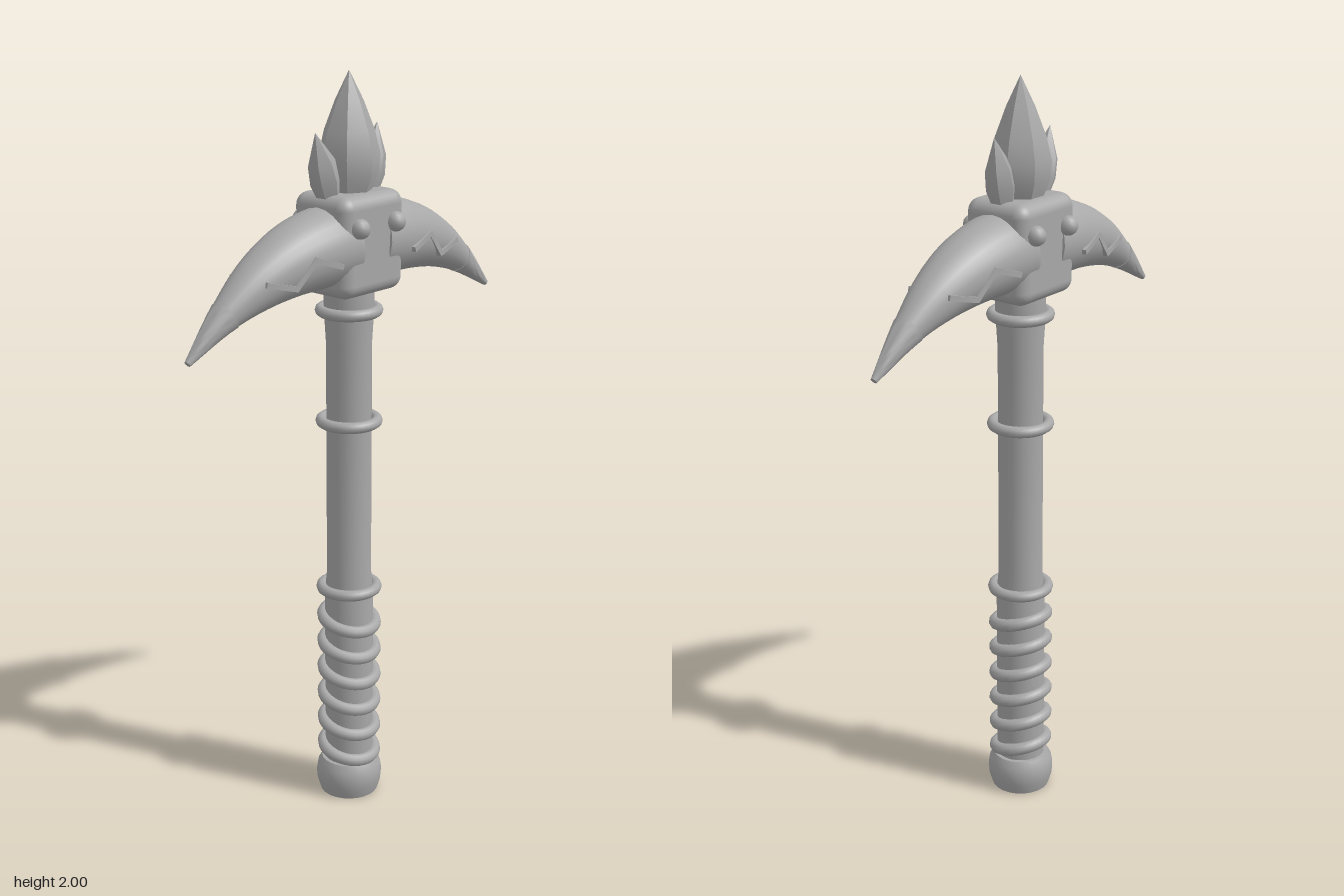
import * as THREE from 'three';
import { toCreasedNormals } from 'three/addons/utils/BufferGeometryUtils.js';
import { RoundedBoxGeometry } from 'three/addons/geometries/RoundedBoxGeometry.js';

const stone = new THREE.MeshStandardMaterial({ color: 0xa8a8a8 });
stone.name = 'grey stone';

function add(parent, name, geometry, x = 0, y = 0, z = 0) {
  const mesh = new THREE.Mesh(geometry, stone);
  mesh.name = name;
  mesh.position.set(x, y, z);
  parent.add(mesh);
  return mesh;
}

function lathe(points, sides, crease = 0.7) {
  const g = new THREE.LatheGeometry(points.map(p => new THREE.Vector2(...p)), sides);
  return toCreasedNormals(g, crease);
}

// Horn centre line: x, y and, as third value, the radius there
const hornLine = new THREE.CatmullRomCurve3([
  [0.05, 1.572, 0.103], [0.12, 1.568, 0.102], [0.22, 1.552, 0.09],
  [0.33, 1.515, 0.068], [0.445, 1.452, 0.038], [0.565, 1.362, 0.008],
].map(p => new THREE.Vector3(...p)));

// Bends a cylinder along a stretch of the horn line
function hornPiece(from, to, swell, rows) {
  const g = new THREE.CylinderGeometry(1, 1, 1, 24, rows);
  const pos = g.attributes.position;
  for (let i = 0; i < pos.count; i++) {
    const t = from + (to - from) * (pos.getY(i) + 0.5);
    const c = hornLine.getPoint(t);
    const d = hornLine.getTangent(t);
    const len = Math.hypot(d.x, d.y);
    const r = c.z * swell;
    const a = pos.getX(i) * r;
    pos.setXYZ(i, c.x + d.y / len * a, c.y - d.x / len * a, pos.getZ(i) * r);
  }
  return toCreasedNormals(g, 0.8);
}

// Raised zigzag following the horn's taper on one face
function addZigzag(parent, side) {
  const pts = [[0.138, 1.542], [0.215, 1.568], [0.272, 1.505], [0.355, 1.526]]
    .map(([x, y]) => new THREE.Vector3(x, y, side * (0.101 - (x - 0.138) * 0.19)));
  for (let i = 0; i < 3; i++) {
    const a = pts[i], b = pts[i + 1];
    const bar = add(parent, 'zigzagBar', new THREE.BoxGeometry(0.014, 0.014, a.distanceTo(b) + 0.008));
    bar.position.copy(a).add(b).multiplyScalar(0.5);
    bar.lookAt(b);
  }
}

export function createModel() {
  const model = new THREE.Group();
  model.name = 'pickaxe';

  // Shaft and pommel
  add(model, 'shaft', lathe([[0.066, 0.08], [0.066, 0.6], [0.06, 0.66], [0.06, 1.3], [0.066, 1.4], [0.066, 1.46]], 24));
  add(model, 'pommel', lathe([[0, 0], [0.08, 0], [0.089, 0.03], [0.091, 0.055], [0.087, 0.08], [0.076, 0.1], [0, 0.102]], 24));

  // Level bands
  for (const y of [0.615, 1.09, 1.39]) {
    add(model, 'band', new THREE.TorusGeometry(0.074, 0.015, 10, 32), 0, y, 0).rotation.x = Math.PI / 2;
  }

  // Slanted grip windings
  for (let i = 0; i < 6; i++) {
    const ring = add(model, 'gripWinding', new THREE.TorusGeometry(0.072, 0.017, 10, 32), 0, 0.13 + i * 0.078, 0);
    ring.rotation.x = Math.PI / 2 + 0.25;
  }

  // Head block with studs
  add(model, 'headBlock', new RoundedBoxGeometry(0.23, 0.26, 0.19, 4, 0.035), 0, 1.572, 0);
  for (const x of [-0.067, 0.067]) {
    for (const z of [-0.1, 0.1]) add(model, 'stud', new THREE.SphereGeometry(0.026, 12, 8), x, 1.624, z);
  }

  // Two matching horns
  for (const turn of [0, Math.PI]) {
    const horn = new THREE.Group();
    horn.name = turn ? 'rightHorn' : 'leftHorn';
    add(horn, 'hornBody', hornPiece(0, 0.82, 1, 18));
    add(horn, 'hornTip', hornPiece(0.79, 1, 1.05, 6));
    addZigzag(horn, 1);
    addZigzag(horn, -1);
    horn.rotation.y = turn;
    model.add(horn);
  }

  // Crystal crown
  const crystal = lathe([[0, 0], [0.055, 0], [0.075, 0.05], [0.08, 0.1], [0.066, 0.16], [0.037, 0.235], [0, 0.31]], 7, 0.55);
  add(model, 'mainCrystal', crystal, 0, 1.69, 0);
  const shard = lathe([[0, 0], [0.028, 0], [0.04, 0.05], [0.036, 0.1], [0, 0.18]], 6, 0.55);
  for (const [name, x, lean] of [['leftShard', 0.07, -0.2], ['rightShard', -0.073, 0.28]]) {
    add(model, name, shard, x, 1.685, 0).rotation.z = lean;
  }
  return model;
}
